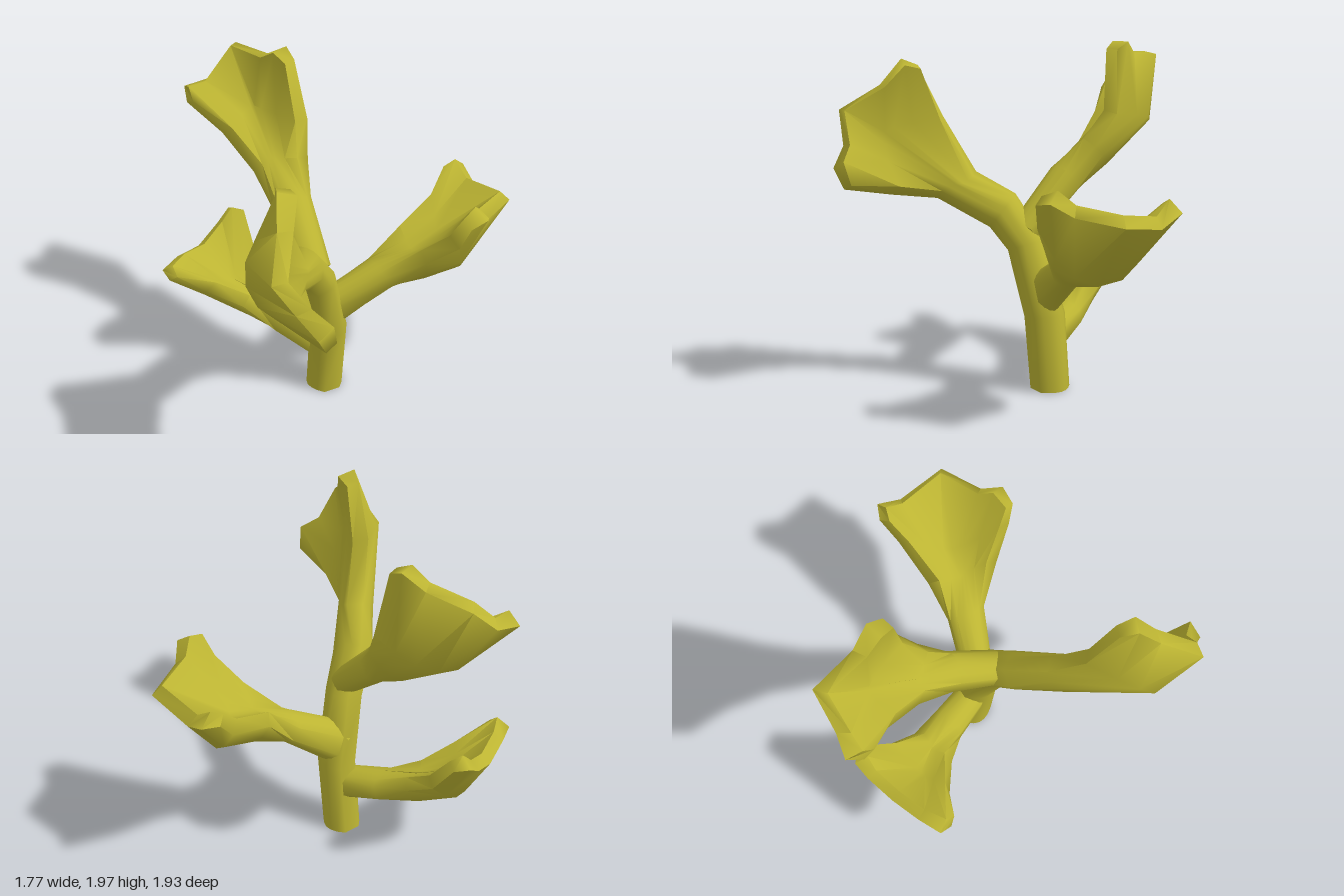
import * as THREE from 'three';
import { toCreasedNormals } from 'three/addons/utils/BufferGeometryUtils.js';

const PLUMP = [0.45, 0.75, 0.93, 1, 0.93, 0.75, 0.45]; // thickness across a section
const RIM = [0.7, 1, 0.8, 0.8, 0.8, 1, 0.7];           // thickness across a rim
const STEPS = PLUMP.length, MID = 3;
const v = (p) => new THREE.Vector3(...p);

// Cupped section: curve through one edge, the middle and the other edge
function cup(a, m, b, t) {
  const line = PLUMP.map((_, i) => {
    const u = -1 + 2 * i / (STEPS - 1);
    return new THREE.Vector3()
      .addScaledVector(v(a), u * (u - 1) / 2)
      .addScaledVector(v(m), 1 - u * u)
      .addScaledVector(v(b), u * (u + 1) / 2);
  });
  return { line, half: PLUMP.map((f) => f * t) };
}
// Round section: centre, half-width vector, thickness
const round = (c, w, t) => cup(c.map((x, i) => x - w[i]), c, c.map((x, i) => x + w[i]), t);
// Knobbly rim: blunt tip, notch, middle tip, notch, blunt tip
const rim = (points, t) => ({ line: points.map(v), half: RIM.map((f) => f * t) });

// Skins a row of sections and closes both ends
function loft(sections) {
  const n = STEPS * 2, pos = [], index = [];
  sections.forEach(({ line, half }, k) => {
    const prev = sections[Math.max(k - 1, 0)].line[MID];
    const next = sections[Math.min(k + 1, sections.length - 1)].line[MID];
    const dir = next.clone().sub(prev).normalize();
    const top = [], under = [];
    line.forEach((p, i) => {
      const normal = line[Math.min(i + 2, STEPS - 1)].clone()
        .sub(line[Math.max(i - 2, 0)]).cross(dir).normalize();
      top.push(p.clone().addScaledVector(normal, half[i]));
      under.unshift(p.clone().addScaledVector(normal, -half[i]));
    });
    [...top, ...under].forEach((p) => pos.push(p.x, p.y, p.z));
  });
  for (let k = 0; k < sections.length - 1; k++) {
    for (let i = 0; i < n; i++) {
      const j = (i + 1) % n, a = k * n, b = a + n;
      index.push(a + i, a + j, b + j, a + i, b + j, b + i);
    }
  }
  const last = (sections.length - 1) * n;
  for (let i = 0; i < STEPS - 1; i++) {
    const p = i, q = i + 1, r = n - 2 - i, s = n - 1 - i;
    index.push(last + p, last + q, last + r, last + p, last + r, last + s);
    index.push(p, r, q, p, s, r);
  }
  const g = new THREE.BufferGeometry();
  g.setAttribute('position', new THREE.Float32BufferAttribute(pos, 3));
  g.setIndex(index);
  return toCreasedNormals(g, 1.25);
}

export function createModel() {
  const group = new THREE.Group();
  group.name = 'branchingCoral';
  const material = new THREE.MeshStandardMaterial({ color: 0xbcb432 });

  const parts = {
    // Stem that bends forward into the front fan
    stemAndFrontFan: [
      round([-0.14, 0, -0.105], [0, 0, 0.105], 0.108),
      round([-0.13, 0.45, -0.06], [0, 0, 0.108], 0.108),
      round([-0.22, 0.85, 0], [0, -0.01, 0.1], 0.105),
      round([-0.34, 1.04, 0.08], [0.03, -0.06, 0.09], 0.105),
      cup([-0.44, 1.25, 0.2], [-0.5, 1.18, 0.27], [-0.51, 1.14, 0.39], 0.1),
      cup([-0.57, 1.56, 0.33], [-0.77, 1.47, 0.6], [-0.58, 1.18, 0.63], 0.1),
      rim([[-0.6, 1.85, 0.45], [-0.62, 1.88, 0.54], [-0.68, 1.75, 0.64], [-0.8, 1.62, 0.83],
        [-0.7, 1.44, 0.86], [-0.63, 1.35, 0.95], [-0.59, 1.23, 0.92]], 0.05),
    ],
    // Low fan reaching to the left
    leftFan: [
      round([-0.13, 0.58, -0.06], [0, 0, -0.08], 0.13),
      round([0.17, 0.78, 0.01], [0, 0, -0.105], 0.09),
      cup([0.31, 0.99, 0.24], [0.36, 0.84, 0.08], [0.35, 0.97, -0.1], 0.09),
      cup([0.42, 1.14, 0.37], [0.54, 0.89, 0.11], [0.6, 1.07, -0.16], 0.1),
      rim([[0.46, 1.27, 0.42], [0.56, 1.3, 0.4], [0.63, 1.23, 0.32], [0.85, 1.2, 0.19],
        [0.8, 1.15, -0.08], [0.79, 1.22, -0.2], [0.71, 1.2, -0.22]], 0.05),
    ],
    // Tall fan at the back
    backFan: [
      round([-0.24, 0.93, 0], [-0.09, 0, 0], 0.08),
      round([-0.23, 1.2, -0.28], [-0.1, 0, 0], 0.1),
      cup([-0.12, 1.41, -0.37], [-0.22, 1.34, -0.5], [-0.34, 1.35, -0.48], 0.1),
      cup([-0.07, 1.58, -0.48], [-0.2, 1.55, -0.78], [-0.43, 1.51, -0.68], 0.1),
      rim([[-0.11, 1.93, -0.52], [-0.13, 1.97, -0.6], [-0.18, 1.9, -0.7], [-0.26, 1.88, -0.94],
        [-0.44, 1.71, -0.92], [-0.56, 1.7, -0.92], [-0.57, 1.64, -0.85]], 0.05),
    ],
    // Small fan low on the stem, behind
    lowerBackFan: [
      round([-0.14, 0.3, -0.09], [0.08, 0, -0.03], 0.1),
      round([-0.27, 0.37, -0.32], [0.09, 0, -0.04], 0.09),
      cup([-0.48, 0.5, -0.42], [-0.4, 0.42, -0.5], [-0.28, 0.49, -0.51], 0.085),
      cup([-0.66, 0.61, -0.51], [-0.53, 0.5, -0.65], [-0.3, 0.62, -0.69], 0.085),
      rim([[-0.86, 0.7, -0.57], [-0.87, 0.74, -0.63], [-0.76, 0.74, -0.71], [-0.6, 0.71, -0.79],
        [-0.45, 0.78, -0.86], [-0.37, 0.85, -0.88], [-0.3, 0.83, -0.84]], 0.045),
    ],
  };
  for (const [name, sections] of Object.entries(parts)) {
    const mesh = new THREE.Mesh(loft(sections), material);
    mesh.name = name;
    group.add(mesh);
  }
  return group;
}
